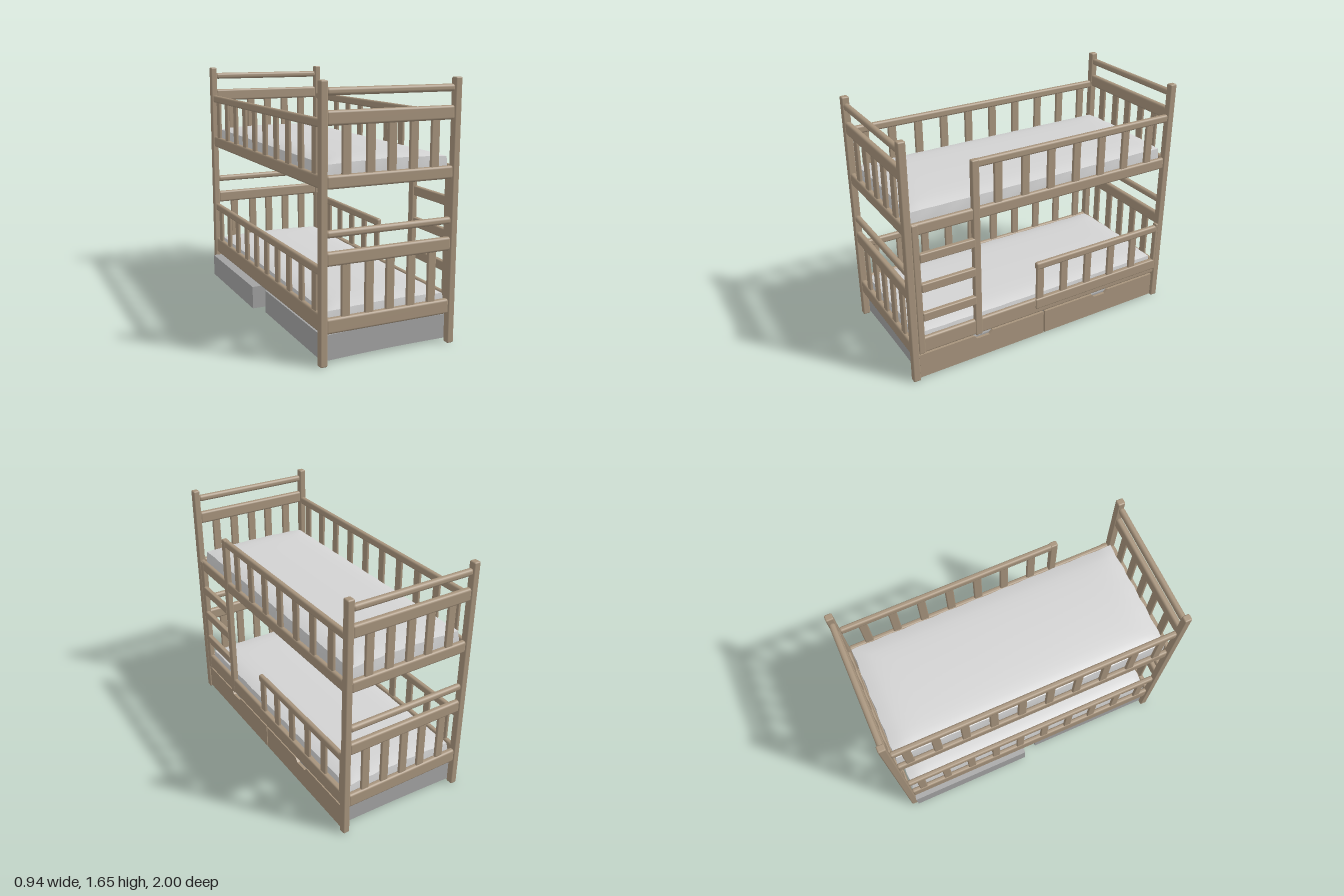
import * as THREE from 'three';
import { RoundedBoxGeometry } from 'three/addons/geometries/RoundedBoxGeometry.js';

const wood = new THREE.MeshStandardMaterial({ color: 0xa6937c });
wood.name = 'wood';
const linen = new THREE.MeshStandardMaterial({ color: 0xd2d2d2 });
linen.name = 'linen';
const drawerGrey = new THREE.MeshStandardMaterial({ color: 0xa3a3a3 });
drawerGrey.name = 'drawerGrey';

// Softly rounded timber given by its min/max corners
function timber(parent, name, x0, x1, y0, y1, z0, z1, r = 0.008) {
  const mesh = new THREE.Mesh(new RoundedBoxGeometry(x1 - x0, y1 - y0, z1 - z0, 2, r), wood);
  mesh.position.set((x0 + x1) / 2, (y0 + y1) / 2, (z0 + z1) / 2);
  mesh.name = name;
  parent.add(mesh);
  return mesh;
}

// Head or foot panel of one bunk
function endPanel(parent, z, y) {
  const g = new THREE.Group();
  g.name = 'endPanel';
  const a = -0.415, b = 0.425;
  timber(g, 'endTopRail', a, b, y.rail, y.rail + 0.045, z - 0.02, z + 0.02, 0.018);
  timber(g, 'endHeadBoard', a, b, y.head, y.head + 0.085, z - 0.02, z + 0.02, 0.015);
  timber(g, 'endBottomBoard', a, b, y.base, y.slat, z - 0.02, z + 0.02, 0.015);
  for (const x of [-0.285, -0.13, 0.01, 0.155, 0.3]) {
    timber(g, 'endSlat', x - 0.029, x + 0.029, y.slat - 0.01, y.head + 0.01, z - 0.011, z + 0.011);
  }
  parent.add(g);
}

// Guard rail carried by upright slats
function guard(parent, x, z0, z1, bottom, top, slats) {
  const g = new THREE.Group();
  g.name = 'guardRail';
  timber(g, 'guardTopRail', x - 0.018, x + 0.018, top - 0.053, top, z0, z1, 0.014);
  for (const z of slats) {
    timber(g, 'guardSlat', x - 0.011, x + 0.011, bottom - 0.01, top - 0.045, z - 0.029, z + 0.029);
  }
  parent.add(g);
}

// Mattress: domed block with rounded, lightly rumpled edges
function mattress(parent, y0, y1) {
  const w = 0.81, d = 1.9, h = y1 - y0;
  const geo = new THREE.BoxGeometry(w, h, d, 16, 4, 36);
  const p = geo.attributes.position;
  for (let i = 0; i < p.count; i++) {
    let x = p.getX(i), y = p.getY(i), z = p.getZ(i);
    const u = Math.abs(x) / (w / 2), v = Math.abs(z) / (d / 2), t = y / h + 0.5;
    const edge = Math.max(u ** 8, v ** 16);
    y -= t * (0.012 * u * u + 0.02 * edge);
    const ripple = 0.005 * Math.sin(z * 31 + t * 4) * t;
    x *= 1 - 0.02 * t * t * u ** 6 + ripple * u ** 6;
    z *= 1 - 0.008 * t * t * v ** 10 + 0.004 * t * Math.sin(x * 37) * v ** 10;
    p.setXYZ(i, x, y, z);
  }
  geo.computeVertexNormals();
  const mesh = new THREE.Mesh(geo, linen);
  mesh.position.set(0.005, (y0 + y1) / 2, 0.003);
  mesh.name = 'mattress';
  parent.add(mesh);
}

// Drawer front with a hand notch, and the box behind it
function drawer(parent, z0, z1, notch, body) {
  const g = new THREE.Group();
  g.name = 'drawer';
  const s = new THREE.Shape();
  [[z0, 0.015], [z1, 0.015], [z1, 0.188], [notch + 0.07, 0.188], [notch + 0.045, 0.163],
    [notch - 0.045, 0.163], [notch - 0.07, 0.188], [z0, 0.188]]
    .forEach(([z, y], i) => (i ? s.lineTo(-z, y) : s.moveTo(-z, y)));
  const front = new THREE.Mesh(new THREE.ExtrudeGeometry(s, { depth: 0.02, bevelEnabled: false }), wood);
  front.rotation.y = Math.PI / 2;
  front.position.x = 0.435;
  front.name = 'drawerFront';
  g.add(front);

  const { x0, near, far } = body; // z spans at the front and at the back of the box
  const geo = new THREE.BoxGeometry(1, 1, 1, 10, 1, 1);
  const p = geo.attributes.position;
  for (let i = 0; i < p.count; i++) {
    const t = p.getX(i) + 0.5, k = p.getZ(i) > 0 ? 1 : 0;
    const bow = Math.sin(Math.PI * t) * 0.012;
    const y = p.getY(i) > 0 ? 0.172 + bow : 0.016 + bow * 0.5;
    p.setXYZ(i, x0 + (0.434 - x0) * t, y, far[k] + (near[k] - far[k]) * t);
  }
  geo.computeVertexNormals();
  const box = new THREE.Mesh(geo, drawerGrey);
  box.name = 'drawerBox';
  g.add(box);
  parent.add(g);
}

export function createModel() {
  const bed = new THREE.Group();
  bed.name = 'bunkBed';
  const L = -0.428, R = 0.443;

  // Corner posts
  for (const x of [-0.432, 0.443]) for (const z of [-0.975, 0.975]) {
    timber(bed, 'cornerPost', x - 0.023, x + 0.023, 0, 1.65, z - 0.025, z + 0.025, 0.009);
  }

  // Two bunks: end panels, side boards, bed slats and mattress
  const bunks = [
    { rail: 0.765, head: 0.6, slat: 0.29, base: 0.195, side: 0.315, low: 0.2, top: 0.35 },
    { rail: 1.565, head: 1.4, slat: 1.125, base: 1.045, side: 1.125, low: 1.045, top: 1.21 },
  ];
  const leftSlats = Array.from({ length: 10 }, (_, i) => 0.865 - i * 0.192);
  for (const y of bunks) {
    const bunk = new THREE.Group();
    bunk.name = 'bunk';
    for (const z of [-0.975, 0.975]) endPanel(bunk, z, y);
    for (const x of [L, R]) timber(bunk, 'sideBoard', x - 0.017, x + 0.017, y.low, y.side, -0.955, 0.955, 0.014);
    for (let i = 0; i < 10; i++) {
      const z = -0.86 + i * 0.191;
      timber(bunk, 'bedSlat', L + 0.01, R - 0.01, y.low - 0.005, y.low + 0.02, z - 0.04, z + 0.04, 0.005);
    }
    mattress(bunk, y.low + 0.022, y.top);
    bed.add(bunk);
  }

  // Guard rails
  guard(bed, L, -0.955, 0.955, 0.315, 0.593, leftSlats);
  guard(bed, L, -0.955, 0.955, 1.125, 1.44, leftSlats);
  guard(bed, R, -0.955, 0.51, 1.125, 1.44, [0.36, 0.165, -0.025, -0.22, -0.415, -0.61, -0.81]);
  guard(bed, 0.448, -0.945, 0.08, 0.315, 0.598, [0.045, -0.148, -0.345, -0.545, -0.74]);
  timber(bed, 'guardBottomBoard', 0.432, 0.467, 0.237, 0.316, -0.95, 0.083, 0.01);
  timber(bed, 'guardEndUpright', 0.43, 0.465, 0.237, 0.612, -0.958, -0.935, 0.006);

  // Ladder
  const ladder = new THREE.Group();
  ladder.name = 'ladder';
  timber(ladder, 'ladderTallUpright', 0.425, 0.464, 0.195, 1.44, 0.495, 0.545);
  timber(ladder, 'ladderShortUpright', 0.425, 0.464, 0.2, 1.12, 0.905, 0.95);
  for (const y of [0.44, 0.65, 0.86]) timber(ladder, 'ladderRung', 0.437, 0.47, y, y + 0.062, 0.535, 0.91);
  bed.add(ladder);

  // Under-bed drawers
  drawer(bed, 0.012, 0.948, 0.485, { x0: -0.42, near: [0.02, 0.94], far: [0.04, 0.95] });
  drawer(bed, -0.94, 0.0, -0.465, { x0: -0.472, near: [-0.93, -0.01], far: [-0.955, -0.07] });
  return bed;
}
